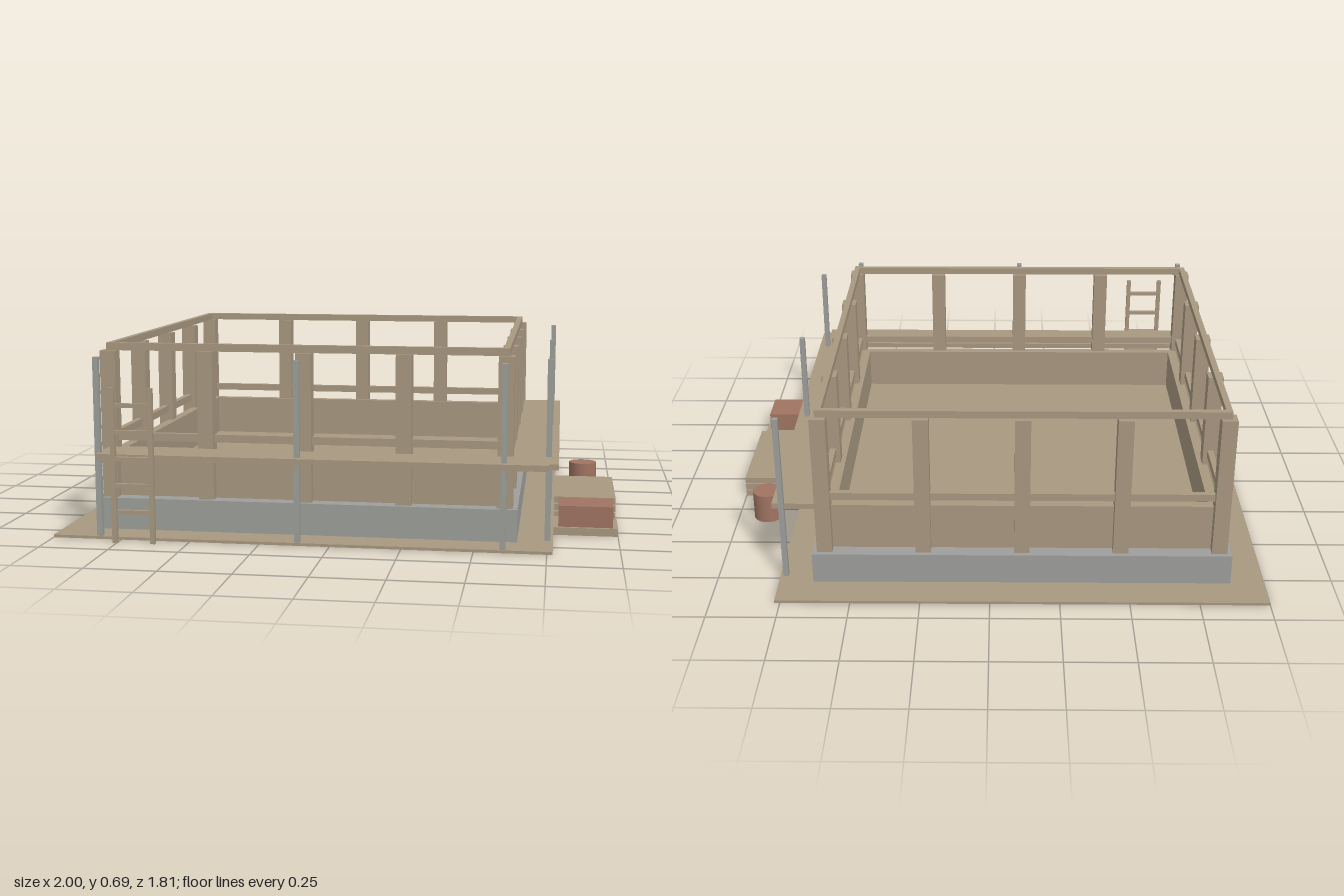
import * as THREE from 'three';

export function createModel() {
  const model = new THREE.Group();
  const mat = (name, color) => {
    const m = new THREE.MeshStandardMaterial({ color });
    m.name = name;
    return m;
  };
  const timber = mat('timber', 0xa89880);
  const concrete = mat('concrete grey', 0x9d9f9b);
  const brick = mat('brick red', 0xa07462);

  // Box given by its limits on each axis
  const box = (name, material, [x0, x1], [y0, y1], [z0, z1], parent = model) => {
    const mesh = new THREE.Mesh(new THREE.BoxGeometry(x1 - x0, y1 - y0, z1 - z0), material);
    mesh.position.set((x0 + x1) / 2, (y0 + y1) / 2, (z0 + z1) / 2);
    mesh.name = name;
    parent.add(mesh);
    return mesh;
  };
  const around = (c, size) => [c - size / 2, c + size / 2];

  // Site ground, y 0 to 0.01
  box('ground', timber, [-1, 0.77], [0, 0.01], [-0.91, 0.855]);

  // The house frame is square about its own centre
  const house = new THREE.Group();
  house.name = 'house';
  house.position.set(-0.115, 0, -0.025);
  model.add(house);

  box('foundation', concrete, [-0.76, 0.76], [0.004, 0.125], [-0.76, 0.76], house);
  box('floor', timber, [-0.68, 0.68], [0.12, 0.14], [-0.68, 0.68], house);

  // Square ring made from a shape with a hole
  const ring = (name, outer, inner, y0, y1) => {
    const square = (Type, h) => new Type([
      new THREE.Vector2(-h, -h), new THREE.Vector2(h, -h),
      new THREE.Vector2(h, h), new THREE.Vector2(-h, h),
    ]);
    const shape = square(THREE.Shape, outer);
    shape.holes.push(square(THREE.Path, inner));
    const geo = new THREE.ExtrudeGeometry(shape, { depth: y1 - y0, bevelEnabled: false });
    geo.rotateX(-Math.PI / 2);
    const mesh = new THREE.Mesh(geo, timber);
    mesh.position.y = y0;
    mesh.name = name;
    house.add(mesh);
  };
  ring('lowWalls', 0.706, 0.67, 0.124, 0.3);
  ring('middleRail', 0.725, 0.703, 0.332, 0.36);
  ring('topRail', 0.725, 0.703, 0.66, 0.687);

  // Posts along all four sides
  for (let i = 0; i < 5; i++) {
    for (let j = 0; j < 5; j++) {
      if (i % 4 && j % 4) continue;
      const x = (i - 2) * 0.3575, z = (j - 2) * 0.3575;
      box('post', timber, around(x, 0.056), [0.125, 0.66], around(z, 0.056), house);
    }
  }

  // Scaffold walkways and poles on the front and left sides
  box('frontWalkway', timber, [-0.83, 0.752], [0.29, 0.311], [0.715, 0.875]);
  box('sideWalkway', timber, [0.625, 0.785], [0.289, 0.31], [-0.74, 0.838]);
  for (const x of [-0.83, -0.115, 0.6]) {
    box('frontPole', concrete, around(x, 0.02), [0.002, 0.65], around(0.84, 0.02));
  }
  for (const z of [-0.74, -0.025, 0.69]) {
    box('sidePole', concrete, around(0.75, 0.02), [0.002, 0.65], around(z, 0.02));
  }

  // Ladder
  const ladder = new THREE.Group();
  ladder.name = 'ladder';
  model.add(ladder);
  for (const x of [-0.757, -0.62]) {
    box('ladderRail', timber, around(x, 0.017), [0, 0.55], around(0.895, 0.018), ladder);
  }
  for (let i = 0; i < 5; i++) {
    box('rung', timber, [-0.755, -0.622], around(0.11 + i * 0.0945, 0.015), around(0.895, 0.014), ladder);
  }

  // Stacked boards
  for (let i = 0; i < 3; i++) {
    box('board', timber, [0.77, 1], [i * 0.029, i * 0.029 + 0.024], [-0.14, 0.28]);
  }

  // Pallet of bricks
  box('pallet', timber, [0.77, 1], [0, 0.028], [0.375, 0.56]);
  box('bricks', brick, [0.787, 0.982], [0.028, 0.105], [0.397, 0.548]);

  // Barrel
  const barrel = new THREE.Mesh(new THREE.CylinderGeometry(0.056, 0.056, 0.114, 24), brick);
  barrel.position.set(0.884, 0.057, -0.295);
  barrel.name = 'barrel';
  model.add(barrel);

  return model;
}
